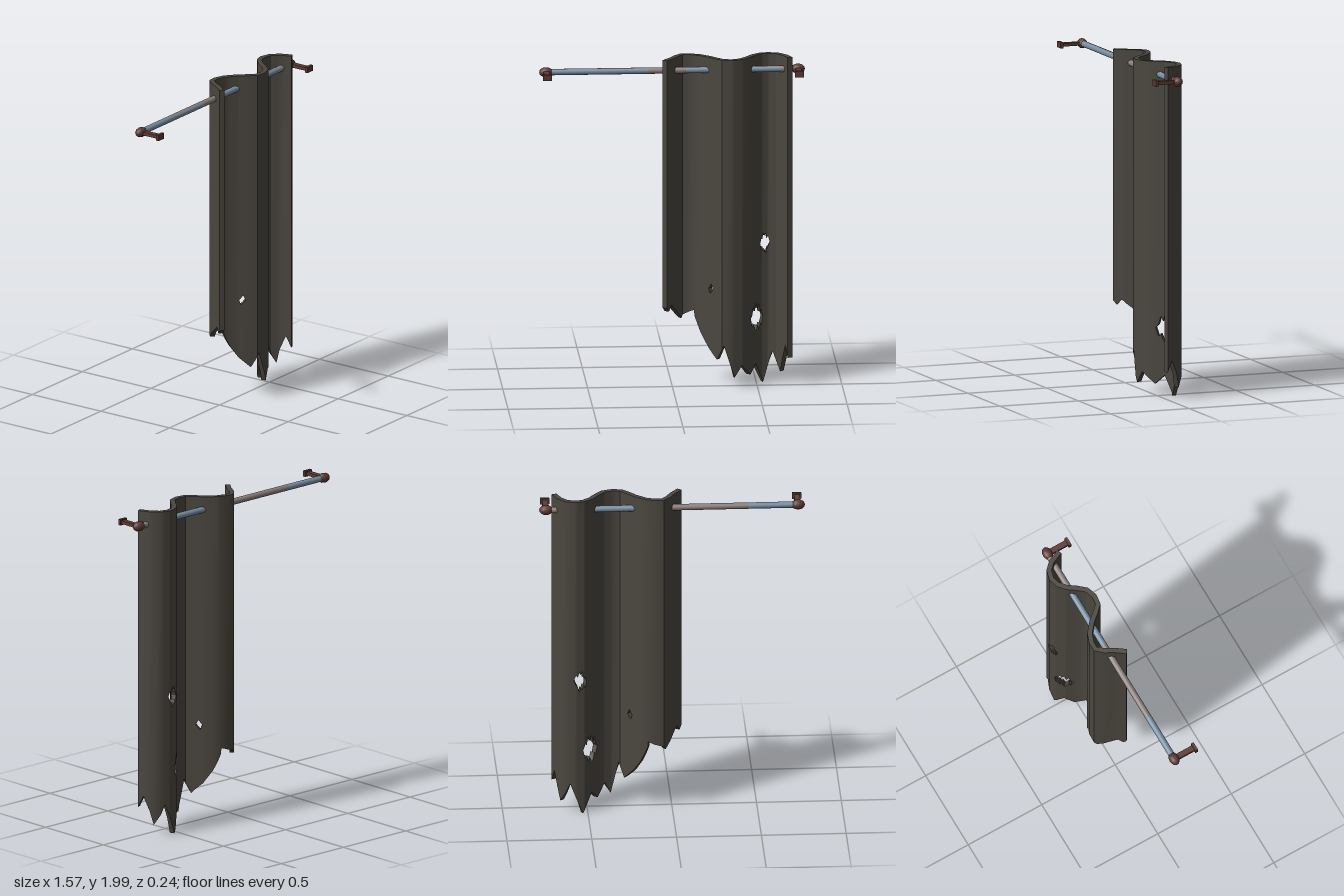
import * as THREE from 'three';
import { toCreasedNormals } from 'three/addons/utils/BufferGeometryUtils.js';

const mat = (name, color, side = THREE.FrontSide) => {
  const m = new THREE.MeshStandardMaterial({ color, side });
  m.name = name;
  return m;
};

// Piecewise linear lookup: rows are [u, a, b, ...]
function lerpRows(rows, u, k) {
  let i = 0;
  while (i < rows.length - 2 && u > rows[i + 1][0]) i++;
  const [p, q] = [rows[i], rows[i + 1]];
  return p[k] + (q[k] - p[k]) * (u - p[0]) / (q[0] - p[0]);
}

// Plan of the folds: x, z
const FOLDS = [[-0.048, 0.052], [-0.005, -0.005], [0.025, -0.06], [0.06, -0.1], [0.105, -0.1], [0.16, -0.08],
  [0.22, -0.03], [0.255, 0.012], [0.295, 0.054], [0.35, 0.061], [0.405, 0.042], [0.445, -0.005],
  [0.48, -0.055], [0.525, -0.092], [0.57, -0.103], [0.625, -0.088], [0.665, -0.045], [0.693, 0.022]];

// Ragged hem: x, y
const HEM = [[-0.048, 0.5], [-0.035, 0.475], [-0.018, 0.51], [0.05, 0.405], [0.06, 0.425], [0.139, 0.455],
  [0.141, 0.42], [0.18, 0.32], [0.225, 0.24], [0.27, 0.18], [0.305, 0.27], [0.36, 0.075], [0.4, 0.145],
  [0.45, 0.075], [0.485, 0.13], [0.535, 0.01], [0.6, 0.2], [0.65, 0.08], [0.68, 0.25], [0.693, 0.18]];

// Torn holes: x, lower edge, upper edge
const HOLES = [
  [[0.515, 0.85, 0.85], [0.523, 0.81, 0.88], [0.53, 0.83, 0.875], [0.538, 0.8, 0.92], [0.546, 0.815, 0.895],
    [0.553, 0.785, 0.915], [0.561, 0.82, 0.88], [0.57, 0.83, 0.895], [0.582, 0.86, 0.86]],
  [[0.452, 0.41, 0.41], [0.462, 0.36, 0.43], [0.47, 0.375, 0.48], [0.478, 0.34, 0.45], [0.487, 0.325, 0.495],
    [0.497, 0.36, 0.465], [0.506, 0.335, 0.49], [0.515, 0.37, 0.44], [0.522, 0.36, 0.45], [0.534, 0.41, 0.41]],
  [[0.225, 0.6, 0.6], [0.233, 0.57, 0.615], [0.24, 0.58, 0.63], [0.25, 0.6, 0.6]],
];

function curtainGeometry(thickness, top) {
  // Offset each fold point to the two faces of the cloth: x, frontX, frontZ, backX, backZ
  const rails = FOLDS.map(([x, z], i) => {
    const a = FOLDS[Math.max(i - 1, 0)], b = FOLDS[Math.min(i + 1, FOLDS.length - 1)];
    const dx = b[0] - a[0], dz = b[1] - a[1], h = thickness / 2 / Math.hypot(dx, dz);
    return [x, x - dz * h, z + dx * h, x + dz * h, z - dx * h];
  });
  const F = (u, y) => [lerpRows(rails, u, 1), y, lerpRows(rails, u, 2)];
  const B = (u, y) => [lerpRows(rails, u, 3), y, lerpRows(rails, u, 4)];
  const pos = [];
  const quad = (a, b, c, d) => pos.push(...a, ...b, ...c, ...a, ...c, ...d);

  // One column of cloth between two x positions, split where a hole crosses it
  const us = [...new Set([FOLDS, HEM, ...HOLES].flat().map(r => r[0]))].sort((a, b) => a - b);
  for (let i = 0; i < us.length - 1; i++) {
    const u = us[i], v = us[i + 1], mid = (u + v) / 2;
    const cuts = HOLES.filter(h => mid > h[0][0] && mid < h[h.length - 1][0])
      .sort((g, h) => g[0][1] - h[0][1]);
    let low = [lerpRows(HEM, u, 1), lerpRows(HEM, v, 1)];
    for (const h of [...cuts, null]) {
      const high = h ? [lerpRows(h, u, 1), lerpRows(h, v, 1)] : [top, top];
      quad(F(u, low[0]), F(v, low[1]), F(v, high[1]), F(u, high[0]));
      quad(B(v, low[1]), B(u, low[0]), B(u, high[0]), B(v, high[1]));
      quad(F(u, high[0]), F(v, high[1]), B(v, high[1]), B(u, high[0]));
      quad(B(u, low[0]), B(v, low[1]), F(v, low[1]), F(u, low[0]));
      if (h) low = [lerpRows(h, u, 2), lerpRows(h, v, 2)];
    }
  }
  // Side edges
  const s = us[0], e = us[us.length - 1], ys = HEM[0][1], ye = HEM[HEM.length - 1][1];
  quad(B(s, ys), F(s, ys), F(s, top), B(s, top));
  quad(F(e, ye), B(e, ye), B(e, top), F(e, top));

  const geo = new THREE.BufferGeometry();
  geo.setAttribute('position', new THREE.Float32BufferAttribute(pos, 3));
  return toCreasedNormals(geo, 0.55);
}

export function createModel() {
  const cloth = mat('dark cloth', 0x4b463f, THREE.DoubleSide);
  const blue = mat('blue steel', 0x7890a4);
  const grey = mat('worn steel', 0x8c807d);
  const rust = mat('rusty iron', 0x5c3a34);
  const model = new THREE.Group();
  const Y = 1.92, Z = -0.03;
  const add = (parent, name, geo, material, x = 0, y = 0, z = 0) => {
    const m = new THREE.Mesh(geo, material);
    m.name = name;
    m.position.set(x, y, z);
    parent.add(m);
    return m;
  };

  add(model, 'curtain', curtainGeometry(0.03, 2), cloth);

  // Rod in patches of two metals, front strip and rear strip
  const rod = new THREE.Group();
  rod.name = 'rod';
  model.add(rod);
  const strip = (name, start, length, runs) => runs.forEach(([a, b, material]) => {
    const geo = new THREE.CylinderGeometry(0.019, 0.019, b - a, 8, 1, true, start, length).rotateZ(Math.PI / 2);
    add(rod, name, geo, material, (a + b) / 2, Y, Z);
  });
  strip('rodFront', -0.9, 1.8, [[-0.73, -0.14, blue], [-0.14, 0.08, grey], [0.08, 0.64, blue], [0.64, 0.73, grey]]);
  strip('rodBack', 0.9, Math.PI * 2 - 1.8, [[-0.73, -0.45, blue], [-0.45, 0.08, grey], [0.08, 0.52, blue], [0.52, 0.73, grey]]);

  // Finial and wall bracket at each end
  for (const side of [1, -1]) {
    const end = new THREE.Group();
    end.name = side > 0 ? 'leftBracket' : 'rightBracket';
    end.position.set(side * 0.743, Y, Z);
    model.add(end);
    add(end, 'finial', new THREE.SphereGeometry(0.03, 12, 8).rotateZ(Math.PI / 2).scale(1.36, 1, 1), rust);
    add(end, 'arm', new THREE.BoxGeometry(0.034, 0.02, 0.135), rust, 0, 0, 0.067);
    add(end, 'wallPlate', new THREE.BoxGeometry(0.054, 0.036, 0.018), rust, 0, 0, 0.139);
  }
  return model;
}
